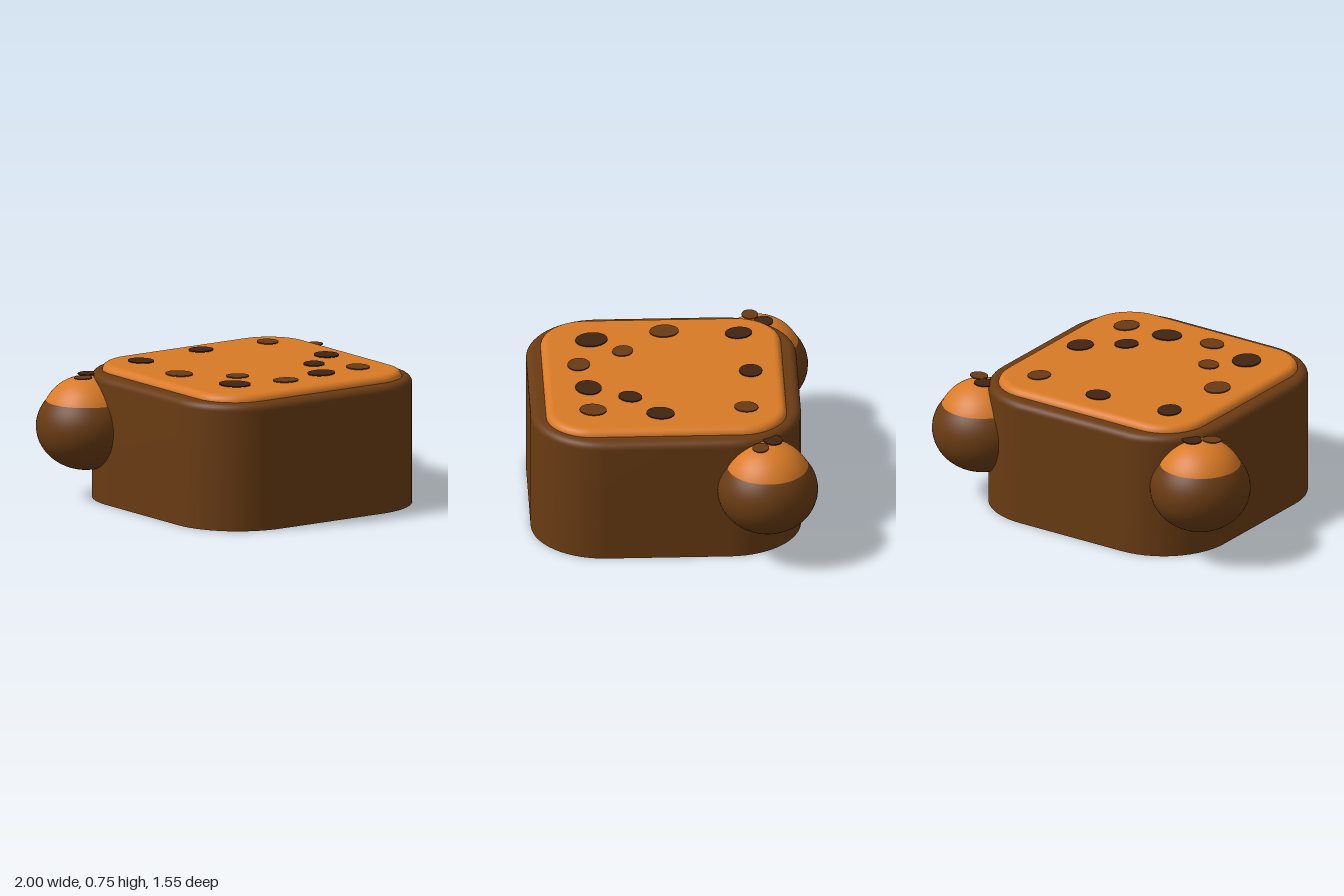
import * as THREE from 'three';

const mat = (name, color) => {
  const m = new THREE.MeshStandardMaterial({ color });
  m.name = name;
  return m;
};

// Rounded-rectangle block lofted through a profile of [inset, y] rings, capped at both ends
function roundedBlock(halfX, halfZ, radius, profile) {
  const steps = 14, pos = [], idx = [];
  const ring = (inset, y) => {
    const r = radius - inset;
    for (let q = 0; q < 4; q++) {
      const sx = q === 0 || q === 3 ? 1 : -1, sz = q < 2 ? 1 : -1;
      for (let s = 0; s <= steps; s++) {
        const a = (q + s / steps) * Math.PI / 2;
        pos.push(sx * (halfX - radius) + r * Math.cos(a), y, sz * (halfZ - radius) + r * Math.sin(a));
      }
    }
  };
  const n = 4 * (steps + 1);
  profile.forEach(([inset, y]) => ring(inset, y));
  for (let j = 0; j < profile.length - 1; j++) {
    for (let i = 0; i < n; i++) {
      const k = (i + 1) % n, a = j * n + i, b = j * n + k;
      idx.push(a, a + n, b, b, a + n, b + n);
    }
  }
  // flat caps with their own vertices, so the rims stay crisp
  [profile[0], profile[profile.length - 1]].forEach(([inset, y], top) => {
    const start = pos.length / 3;
    ring(inset, y);
    pos.push(0, y, 0);
    for (let i = 0; i < n; i++) {
      const a = start + i, b = start + (i + 1) % n;
      if (top) idx.push(start + n, b, a);
      else idx.push(start + n, a, b);
    }
  });
  const g = new THREE.BufferGeometry();
  g.setAttribute('position', new THREE.Float32BufferAttribute(pos, 3));
  g.setIndex(idx);
  g.computeVertexNormals();
  return g;
}

// Quarter-round edge ending at the given height
function roundedEdge(size, top) {
  const points = [];
  for (let i = 0; i <= 6; i++) {
    const a = i / 6 * Math.PI / 2;
    points.push([size * (1 - Math.cos(a)), top - size + size * Math.sin(a)]);
  }
  return points;
}

export function createModel() {
  const group = new THREE.Group();
  const brown = mat('brown', 0x693b13);
  const orange = mat('orange', 0xd97a26);
  const dark = mat('darkBrown', 0x402410);

  const add = (name, geometry, material, x, y, z, parent = group) => {
    const m = new THREE.Mesh(geometry, material);
    m.name = name;
    m.position.set(x, y, z);
    parent.add(m);
    return m;
  };

  // Thin oval spot lying flat
  const spotGeometry = new THREE.CylinderGeometry(1, 1, 0.006, 32);
  const spot = (material, x, y, z, rx, rz, turn, parent) => {
    const m = add('spot', spotGeometry, material, x, y, z, parent);
    m.scale.set(rx, 1, rz);
    m.rotation.y = turn;
  };

  // Body and raised top pad
  const midZ = 0.036;
  add('body', roundedBlock(0.74, 0.738, 0.4, [[0, 0], [0, 0.3], ...roundedEdge(0.04, 0.705)]), brown, 0, 0, midZ);
  add('topPad', roundedBlock(0.657, 0.657, 0.25, [[0, 0.68], ...roundedEdge(0.042, 0.742)]), orange, 0, 0, midZ);

  // Spots on the pad: material, x, z, radii, turn
  [
    [dark, -0.44, -0.39, 0.064, 0.075, 0.3],
    [dark, 0, -0.44, 0.07, 0.063, 0],
    [brown, 0.42, -0.40, 0.058, 0.066, -0.3],
    [brown, -0.475, -0.015, 0.07, 0.08, 0.2],
    [dark, 0.475, -0.07, 0.067, 0.077, -0.3],
    [dark, 0.278, -0.228, 0.058, 0.067, -0.6],
    [brown, -0.253, -0.25, 0.062, 0.055, -0.5],
    [dark, -0.39, -0.415, 0.078, 0.09, 0.4],
    [brown, -0.105, -0.495, 0.071, 0.061, -0.2],
    [dark, 0.165, -0.452, 0.082, 0.071, 0.3],
    [brown, 0.423, -0.436, 0.064, 0.074, -0.3],
  ].forEach(([m, x, z, rx, rz, turn], i) => spot(m, x, 0.752, i < 3 ? z : -z, rx, rz, turn, group));

  // Ears: squashed ball, domed orange cap and two spots
  for (const side of [1, -1]) {
    const ear = new THREE.Group();
    ear.name = side > 0 ? 'leftEar' : 'rightEar';
    ear.position.set(side * 0.725, 0, -0.505);
    group.add(ear);
    add('earBall', new THREE.SphereGeometry(0.275, 48, 32), brown, 0, 0.405, 0, ear).scale.y = 0.24 / 0.275;
    add('earCap', new THREE.SphereGeometry(0.247, 48, 16, 0, Math.PI * 2, 0, 1.2), orange, 0, 0.437, 0, ear);
    spot(dark, -side * 0.035, 0.687, -0.03, 0.058, 0.052, side * 0.3, ear);
    spot(brown, side * 0.05, 0.685, 0.04, 0.053, 0.045, -side * 0.2, ear);
  }
  return group;
}
